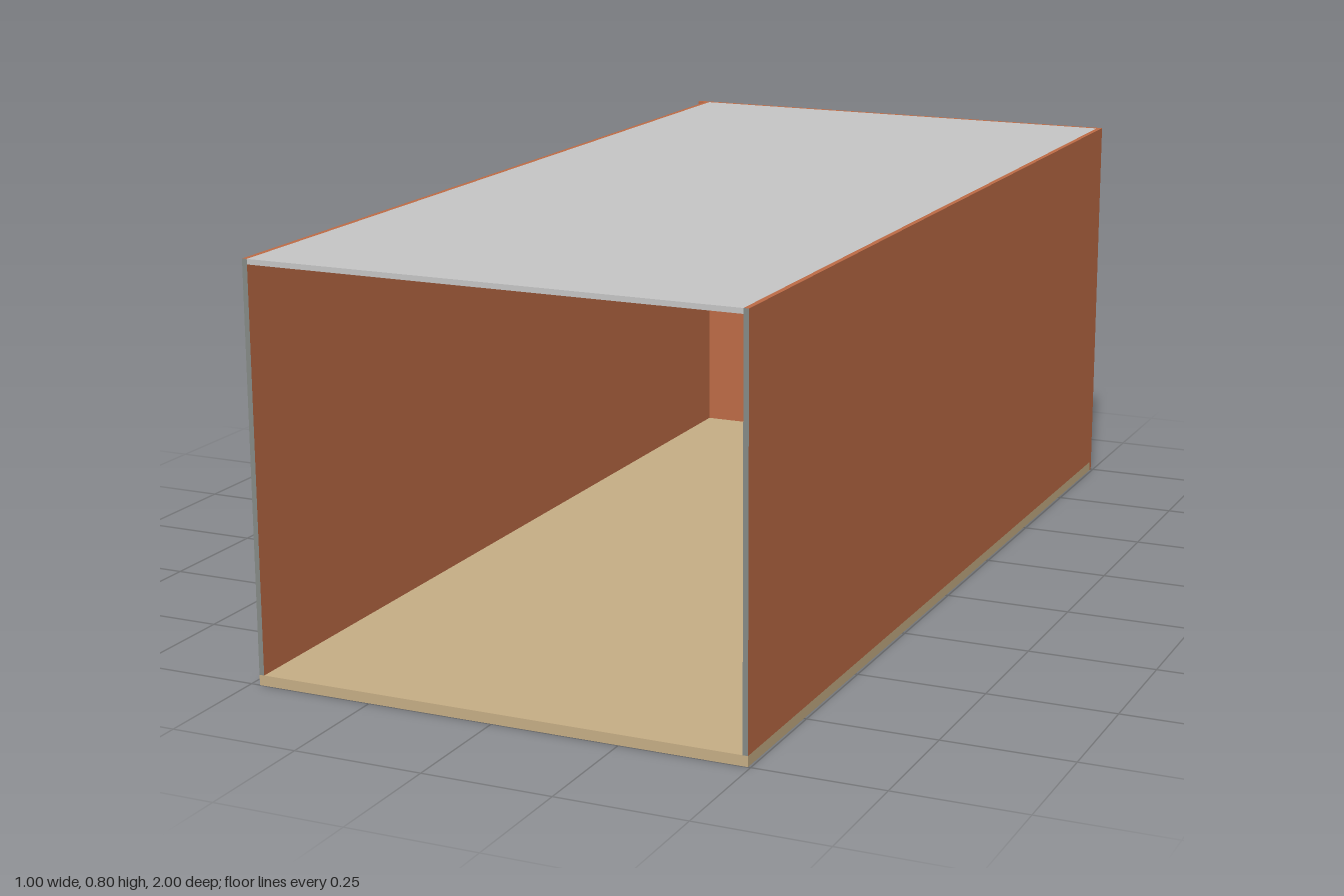
import * as THREE from 'three';

const brick = new THREE.MeshStandardMaterial({ color: 0xbd6b46 });
brick.name = 'brick';
const mortar = new THREE.MeshStandardMaterial({ color: 0x858a86 });
mortar.name = 'mortar';
const roofGrey = new THREE.MeshStandardMaterial({ color: 0xc6c6c6 });
roofGrey.name = 'roof grey';
const floorSand = new THREE.MeshStandardMaterial({ color: 0xc6ae85 });
floorSand.name = 'floor sand';

// Box given by its lower and upper corners
function slab(name, material, [x0, y0, z0], [x1, y1, z1]) {
  const geometry = new THREE.BoxGeometry(x1 - x0, y1 - y0, z1 - z0);
  geometry.translate((x0 + x1) / 2, (y0 + y1) / 2, (z0 + z1) / 2);
  const mesh = new THREE.Mesh(geometry, material);
  mesh.name = name;
  return mesh;
}

export function createModel() {
  const model = new THREE.Group();
  model.name = 'openHall';

  const floorTop = 0.02, height = 0.8, t = 0.01;
  const back = -1, front = 1, right = -0.482, left = 0.495;

  model.add(slab('floor', floorSand, [right, 0, back + t], [left, floorTop, front]));
  model.add(slab('roof', roofGrey, [right + t, height - t, back + t], [left - t, height, front]));

  // Side walls stand on the floor; their front ends are bare mortar
  const wallFaces = [brick, brick, brick, brick, mortar, brick];
  for (const [name, x] of [['rightWall', right], ['leftWall', left - t]]) {
    model.add(slab(name, wallFaces, [x, floorTop, back + t], [x + t, height, front]));
  }

  // Back wall with a doorway reaching the ground
  const outline = new THREE.Shape();
  [[-0.5, 0], [-0.2, 0], [-0.2, 0.596], [0.198, 0.596], [0.198, 0], [left, 0], [left, height], [-0.5, height]]
    .forEach(([x, y], i) => (i ? outline.lineTo(x, y) : outline.moveTo(x, y)));
  outline.closePath();
  const wall = new THREE.ExtrudeGeometry(outline, { depth: t, bevelEnabled: false });
  wall.translate(0, 0, back);
  const backWall = new THREE.Mesh(wall, brick);
  backWall.name = 'backWall';
  model.add(backWall);

  return model;
}
